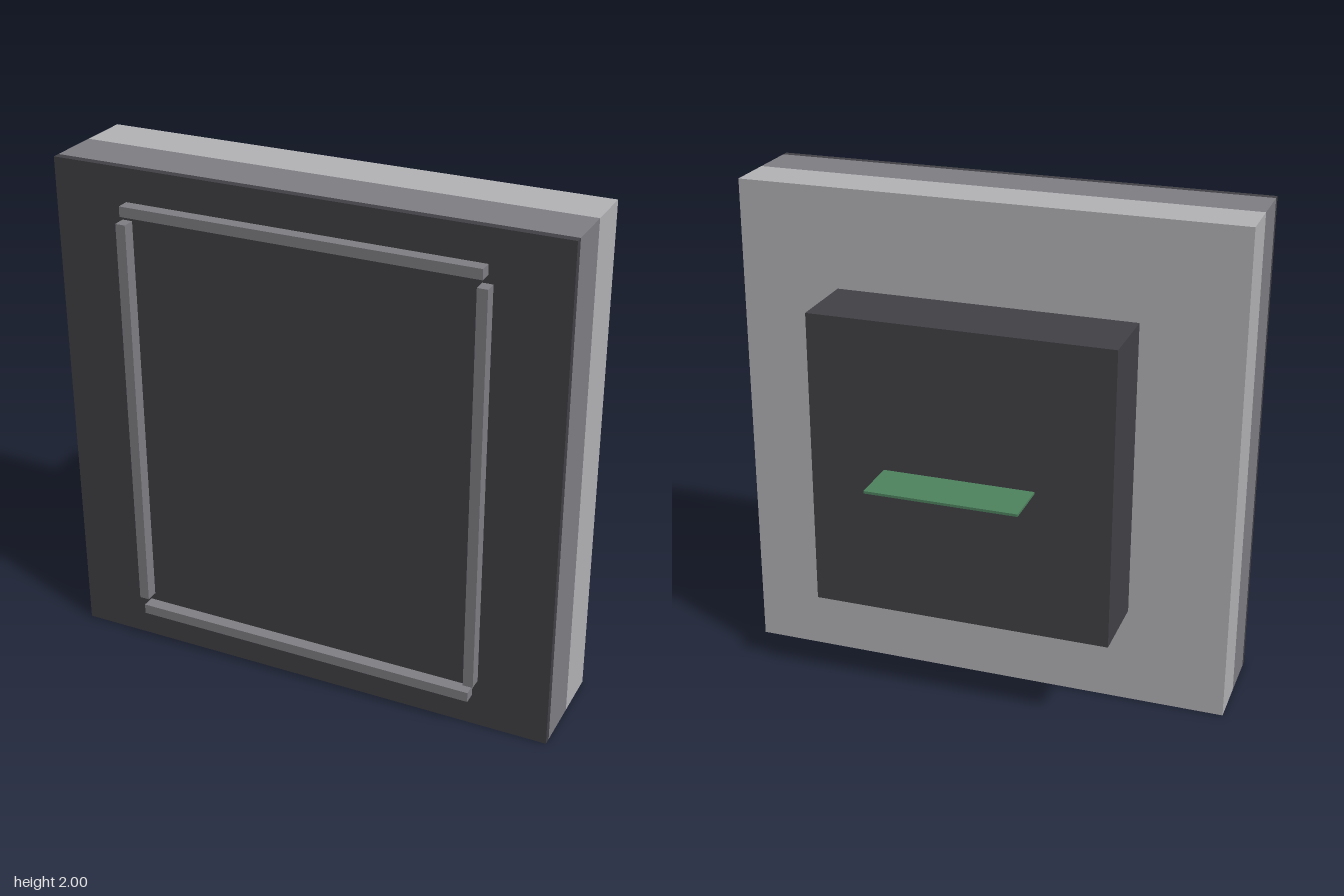
import * as THREE from 'three';

const mat = (name, color) => {
  const m = new THREE.MeshStandardMaterial({ color });
  m.name = name;
  return m;
};

export function createModel() {
  const charcoal = mat('charcoal', 0x424247);
  const midGrey = mat('mid grey', 0x808085);
  const lightGrey = mat('light grey', 0xb4b4b8);
  const green = mat('board green', 0x4f8460);

  const model = new THREE.Group();
  model.name = 'wallPanel';

  // Box given by width, height, z range and centre
  const box = (name, material, w, h, z0, z1, x = 0, y = 1) => {
    const mesh = new THREE.Mesh(new THREE.BoxGeometry(w, h, z1 - z0), material);
    mesh.name = name;
    mesh.position.set(x, y, (z0 + z1) / 2);
    model.add(mesh);
  };

  // Stacked square slabs, back to front
  box('backSlab', lightGrey, 2, 2, 0.01, 0.21);
  box('middleSlab', midGrey, 2, 2, 0.21, 0.41);
  box('frontPlate', charcoal, 2, 2, 0.41, 0.44);

  // Rear housing with a thin board sticking out
  box('rearHousing', charcoal, 1.2, 1.2, -0.29, 0.01);
  box('circuitBoard', green, 0.6, 0.01, -0.49, -0.29);

  // Raised trim on the front, open at the corners
  for (const s of [-1, 1]) {
    box(s > 0 ? 'leftTrim' : 'rightTrim', midGrey, 0.04, 1.6, 0.44, 0.49, s * 0.7, 1);
    box(s > 0 ? 'topTrim' : 'bottomTrim', midGrey, 1.4, 0.04, 0.44, 0.49, 0, 1 + s * 0.85);
  }
  return model;
}
